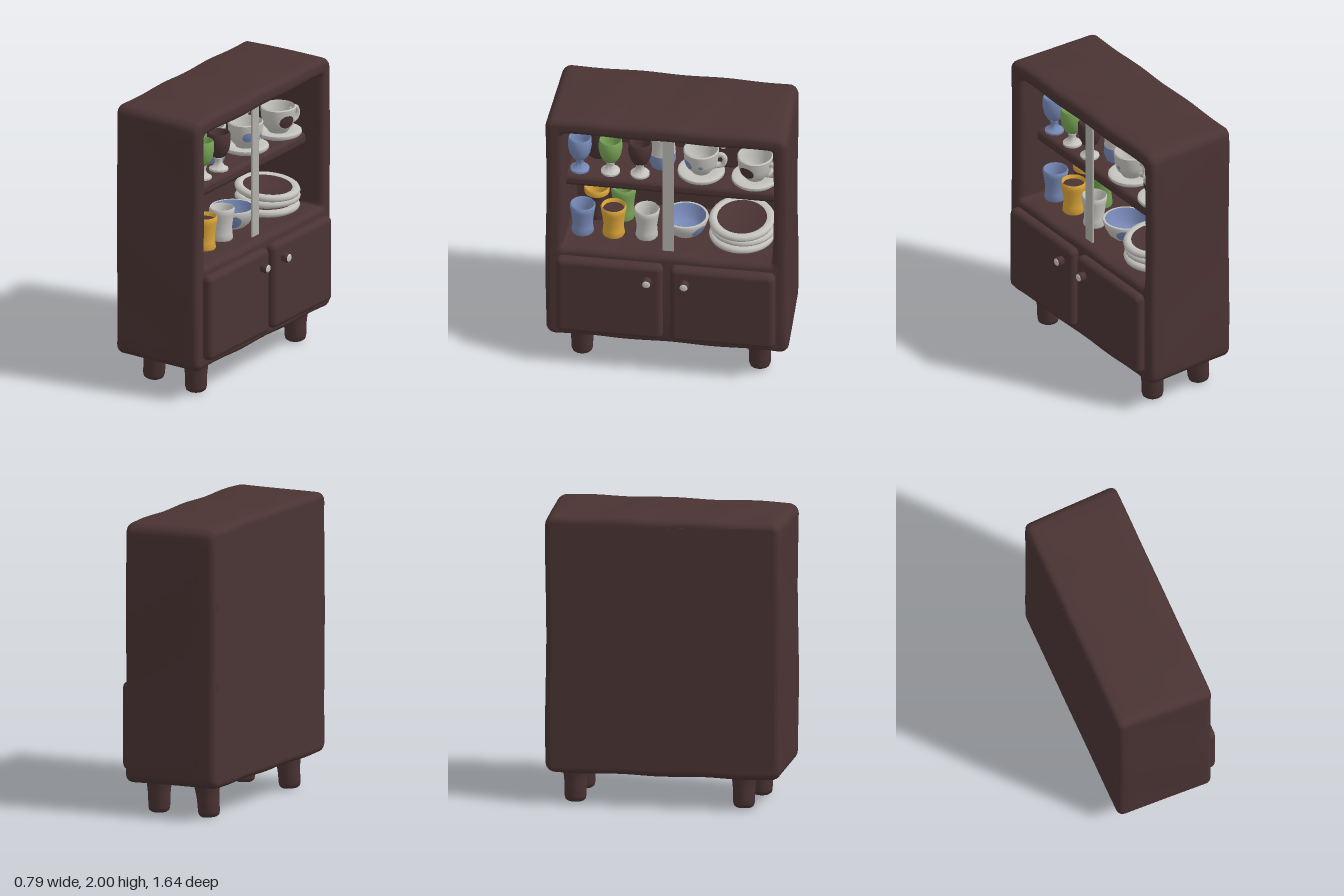
import * as THREE from 'three';
import { toCreasedNormals } from 'three/addons/utils/BufferGeometryUtils.js';
import { RoundedBoxGeometry } from 'three/addons/geometries/RoundedBoxGeometry.js';

export function createModel() {
  const paint = (name, color) => {
    const m = new THREE.MeshStandardMaterial({ color });
    m.name = name;
    return m;
  };
  const wood = paint('dark wood', 0x4a3333);
  const white = paint('pale ceramic', 0xc4c3be);
  const post = paint('grey post', 0xb0afa9);
  const blue = paint('blue glaze', 0x7688b6);
  const green = paint('green glaze', 0x77a355);
  const yellow = paint('yellow glaze', 0xd9a437);

  const model = new THREE.Group();
  model.name = 'displayCabinet';
  // Built with the doors towards +z, then turned so they face +x
  const cabinet = new THREE.Group();
  cabinet.name = 'cabinet';
  cabinet.rotation.y = Math.PI / 2;
  model.add(cabinet);

  const add = (name, geo, mat, x = 0, y = 0, z = 0, parent = cabinet) => {
    const mesh = new THREE.Mesh(geo, mat);
    mesh.name = name;
    mesh.position.set(x, y, z);
    parent.add(mesh);
    return mesh;
  };
  const set = (name, x, y, z) => {
    const g = new THREE.Group();
    g.name = name;
    g.position.set(x, y, z);
    cabinet.add(g);
    return g;
  };
  const box = (w, h, d, r) => new RoundedBoxGeometry(w, h, d, 4, r);
  const lathe = (pts, seg = 32) =>
    toCreasedNormals(new THREE.LatheGeometry(pts.map(p => new THREE.Vector2(p[0], p[1])), seg), 0.9);

  // Hand-modelled unevenness: narrower towards the back, crowned top, gently wavy
  const wobble = geo => {
    const p = geo.attributes.position;
    for (let i = 0; i < p.count; i++) {
      const x = p.getX(i), y = p.getY(i), z = p.getZ(i);
      const taper = 1 - 0.03 * (0.28 - z) / 0.68;
      const crown = THREE.MathUtils.smoothstep(y, 1.9, 1.98) * (1 - (x / 0.82) ** 4);
      p.setX(i, x * taper + 0.004 * Math.sin(y * 5 + z * 3));
      p.setY(i, y + 0.014 * crown * (1 - 6 * (z + 0.06) ** 2) + 0.004 * Math.sin(x * 11 + z * 5));
    }
    return toCreasedNormals(geo, 0.8);
  };
  // Rounded rectangle with extra points along its sides
  const roundRect = (x0, y0, x1, y1, r) => {
    const pts = [];
    const corners = [[x1 - r, y0 + r], [x1 - r, y1 - r], [x0 + r, y1 - r], [x0 + r, y0 + r]];
    corners.forEach(([cx, cy], i) => {
      for (let k = 0; k <= 6; k++) {
        const a = (i - 1 + k / 6) * Math.PI / 2;
        pts.push(new THREE.Vector2(cx + r * Math.cos(a), cy + r * Math.sin(a)));
      }
      const from = pts[pts.length - 1];
      const [nx, ny] = corners[(i + 1) % 4];
      const to = new THREE.Vector2(nx + r * Math.cos(i * Math.PI / 2), ny + r * Math.sin(i * Math.PI / 2));
      for (let k = 1; k < 24; k++) pts.push(from.clone().lerp(to, k / 24));
    });
    return pts;
  };

  // Carcass with the display opening
  const outline = new THREE.Shape(roundRect(-0.78, 0.255, 0.78, 1.94, 0.025));
  outline.holes.push(new THREE.Path(roundRect(-0.742, 0.895, 0.758, 1.908, 0.06)));
  const frame = new THREE.ExtrudeGeometry(outline, {
    depth: 0.58, steps: 8, bevelSize: 0.04, bevelThickness: 0.045, bevelSegments: 5,
  });
  frame.translate(0, 0, -0.345);
  add('frame', wobble(frame), wood);
  const back = new THREE.BoxGeometry(1.55, 1.675, 0.09, 24, 24, 1);
  back.translate(0, 1.0975, -0.3455);
  add('backPanel', wobble(back), wood);
  add('shelf', box(1.47, 0.09, 0.45, 0.035), wood, 0, 1.395, -0.085);
  add('centrePost', new THREE.BoxGeometry(0.078, 0.96, 0.014), post, 0.002, 1.4, 0.205);

  // Doors and knobs
  for (const [x, w, kx] of [[-0.38, 0.72, -0.12], [0.385, 0.71, 0.133]]) {
    add('door', box(w, 0.6, 0.09, 0.04), wood, x, 0.585, 0.3);
    const knob = set('knob', kx, 0.775, 0.325);
    knob.rotation.x = Math.PI / 2;
    add('knobStem', lathe([[0.03, 0], [0.03, 0.03], [0.033, 0.045], [0.032, 0.058], [0.026, 0.068]], 20), wood, 0, 0, 0, knob);
    add('knobCap', lathe([[0.027, 0.067], [0.022, 0.072], [0.012, 0.075], [0, 0.076]], 20), white, 0, 0, 0, knob);
  }

  // Legs, the rear pair splayed
  const legShape = [[0, 0], [0.05, 0], [0.067, 0.012], [0.073, 0.035], [0.075, 0.12], [0.083, 0.19], [0.1, 0.25]];
  for (const [x, z, tilt] of [[-0.59, 0.125, 0], [-0.53, -0.255, 0.08], [0.61, 0.125, 0], [0.61, -0.255, 0.08]]) {
    add('leg', lathe(legShape, 24), wood, x, 0, z).rotation.x = tilt;
  }

  // Goblets on the upper shelf
  const bowlPart = [[0.02, 0.085], [0.05, 0.105], [0.07, 0.145], [0.08, 0.2], [0.078, 0.255], [0.072, 0.268], [0.066, 0.26], [0.068, 0.2], [0.055, 0.15], [0, 0.12]];
  const footPart = [[0, 0], [0.064, 0], [0.064, 0.014], [0.04, 0.028], [0.026, 0.05], [0.026, 0.068], [0.032, 0.09], [0, 0.1]];
  for (const [name, x, cup, foot] of [['blueGoblet', -0.617, blue, blue], ['greenGoblet', -0.41, green, white], ['brownGoblet', -0.21, wood, white]]) {
    const g = set(name, x, 1.44, 0.055);
    add('gobletBowl', lathe(bowlPart), cup, 0, 0, 0, g);
    add('gobletFoot', lathe(footPart), foot, 0, 0, 0, g);
  }

  // Pieces behind the goblets
  add('roundPot', lathe([[0, 0], [0.07, 0], [0.1, 0.08], [0.108, 0.2], [0.1, 0.29], [0.07, 0.33], [0, 0.34]]), wood, -0.515, 1.44, -0.14);
  const jar = set('twoToneJar', -0.08, 1.44, -0.08);
  add('jarBase', lathe([[0, 0], [0.075, 0], [0.092, 0.05], [0.09, 0.11]]), blue, 0, 0, 0, jar);
  add('jarTop', lathe([[0.09, 0.11], [0.083, 0.19], [0.09, 0.25], [0.078, 0.25], [0.072, 0.18], [0.07, 0.1], [0, 0.08]]), white, 0, 0, 0, jar);

  // Painted spot wrapped just above the outer wall of a turned profile
  const spot = (parent, mat, profile, height, angle, size) => {
    const geo = new THREE.RingGeometry(0, size, 20, 4);
    const p = geo.attributes.position;
    for (let i = 0; i < p.count; i++) {
      const h = height + p.getY(i) * 0.8;
      const k = profile.findIndex(q => q[1] >= h);
      const [r0, h0] = profile[k - 1], [r1, h1] = profile[k];
      const r = r0 + (r1 - r0) * (h - h0) / (h1 - h0) + 0.003;
      const a = angle + p.getX(i) / r;
      p.setXYZ(i, Math.sin(a) * r, h, Math.cos(a) * r);
    }
    geo.computeVertexNormals();
    add('paintedSpot', geo, mat, 0, 0, 0, parent);
  };

  // Teacups on saucers
  const teacup = [[0, 0.03], [0.06, 0.03], [0.07, 0.05], [0.1, 0.085], [0.113, 0.13], [0.12, 0.21], [0.112, 0.217], [0.105, 0.205], [0.1, 0.13], [0.07, 0.07], [0, 0.06]];
  const saucer = [[0, 0], [0.105, 0], [0.115, 0.012], [0.148, 0.018], [0.159, 0.03], [0.157, 0.046], [0.145, 0.053], [0.09, 0.04], [0, 0.035]];
  const handle = new THREE.TubeGeometry(new THREE.CatmullRomCurve3(
    [[0.1, 0.165], [0.14, 0.178], [0.16, 0.145], [0.145, 0.1], [0.09, 0.08]].map(p => new THREE.Vector3(p[0], p[1], 0))), 20, 0.018, 10);
  for (const [x, z, turn, mat, spots] of [
    [0.195, 0, 0, blue, [[0.13, -0.8, 0.042], [0.13, 0.1, 0.016], [0.14, 2.4, 0.035], [0.13, -2.4, 0.03]]],
    [0.562, 0.02, 0.35, wood, [[0.13, -0.42, 0.056], [0.13, 2.2, 0.04]]]]) {
    const g = set('teacupAndSaucer', x, 1.44, z);
    add('cup', lathe(teacup), white, 0, 0, 0, g);
    add('saucer', lathe(saucer), white, 0, 0, 0, g);
    add('cupHandle', handle, white, 0, 0, 0, g).rotation.y = -turn;
    for (const [h, a, s] of spots) spot(g, mat, teacup, h, a, s);
  }

  // Tin with a painted flower
  const tin = set('flowerTin', 0.355, 1.44, -0.17);
  add('tinBody', box(0.21, 0.34, 0.16, 0.025), wood, 0, 0.17, 0, tin);
  const dot = (mat, x, y, r) => add('flowerPaint', new THREE.CircleGeometry(r, 16), mat, x, y, 0.083, tin);
  dot(yellow, -0.01, 0.268, 0.024);
  for (const [x, y] of [[-0.042, 0.222], [0.015, 0.222], [-0.012, 0.205], [-0.025, 0.18]]) dot(white, x, y, 0.02);

  // Tumblers on the lower shelf
  const wall = [[0, 0], [0.07, 0], [0.076, 0.012], [0.07, 0.05], [0.069, 0.09], [0.077, 0.15], [0.083, 0.185]];
  const lip = [[0.083, 0.185], [0.087, 0.216], [0.08, 0.226], [0.073, 0.215], [0.062, 0.14], [0.058, 0.03], [0, 0.025]];
  for (const [name, x, z, body, rim, h] of [
    ['blueTumbler', -0.597, 0.06, blue, blue, 1], ['yellowTumbler', -0.388, 0.06, yellow, yellow, 1.03],
    ['whiteTumbler', -0.165, 0.05, white, white, 1], ['greenTumbler', -0.35, -0.14, green, green, 1.12],
    ['brownTumbler', -0.53, -0.14, wood, yellow, 1.03]]) {
    const g = set(name, x, 0.935, z);
    g.scale.y = h;
    add('tumblerWall', lathe(wall), body, 0, 0, 0, g);
    add('tumblerLip', lathe(lip), rim, 0, 0, 0, g);
    if (name === 'yellowTumbler') add('drink', lathe([[0.071, 0.2], [0, 0.2]]), wood, 0, 0, 0, g);
  }

  // Spotted bowl, blue inside
  const bowl = set('spottedBowl', 0.085, 0.935, -0.03);
  const bowlWall = [[0, 0], [0.08, 0], [0.115, 0.03], [0.14, 0.08], [0.156, 0.125], [0.152, 0.137], [0.138, 0.137]];
  add('bowlOutside', lathe(bowlWall), white, 0, 0, 0, bowl);
  add('bowlInside', lathe([[0.138, 0.137], [0.13, 0.12], [0.11, 0.06], [0.08, 0.03], [0, 0.025]]), blue, 0, 0, 0, bowl);
  for (const a of [-0.95, 0.9, 2.2, 3.6]) spot(bowl, blue, bowlWall, 0.07, a, 0.058);

  // Stack of plates, each with a dark centre
  const plate = [[0, 0], [0.13, 0], [0.19, 0.01], [0.215, 0.024], [0.222, 0.042], [0.212, 0.06], [0.19, 0.066], [0.165, 0.055]];
  for (let i = 0; i < 3; i++) {
    const g = set('plate', 0.47 + 0.008 * (i % 2), 0.938 + 0.061 * i, -0.01);
    if (i === 2) g.rotation.x = 0.11;
    add('plateRim', lathe(plate, 40), white, 0, 0, 0, g);
    add('plateCentre', lathe([[0.167, 0.056], [0.14, 0.045], [0, 0.042]], 40), wood, 0, 0, 0, g);
  }
  return model;
}
